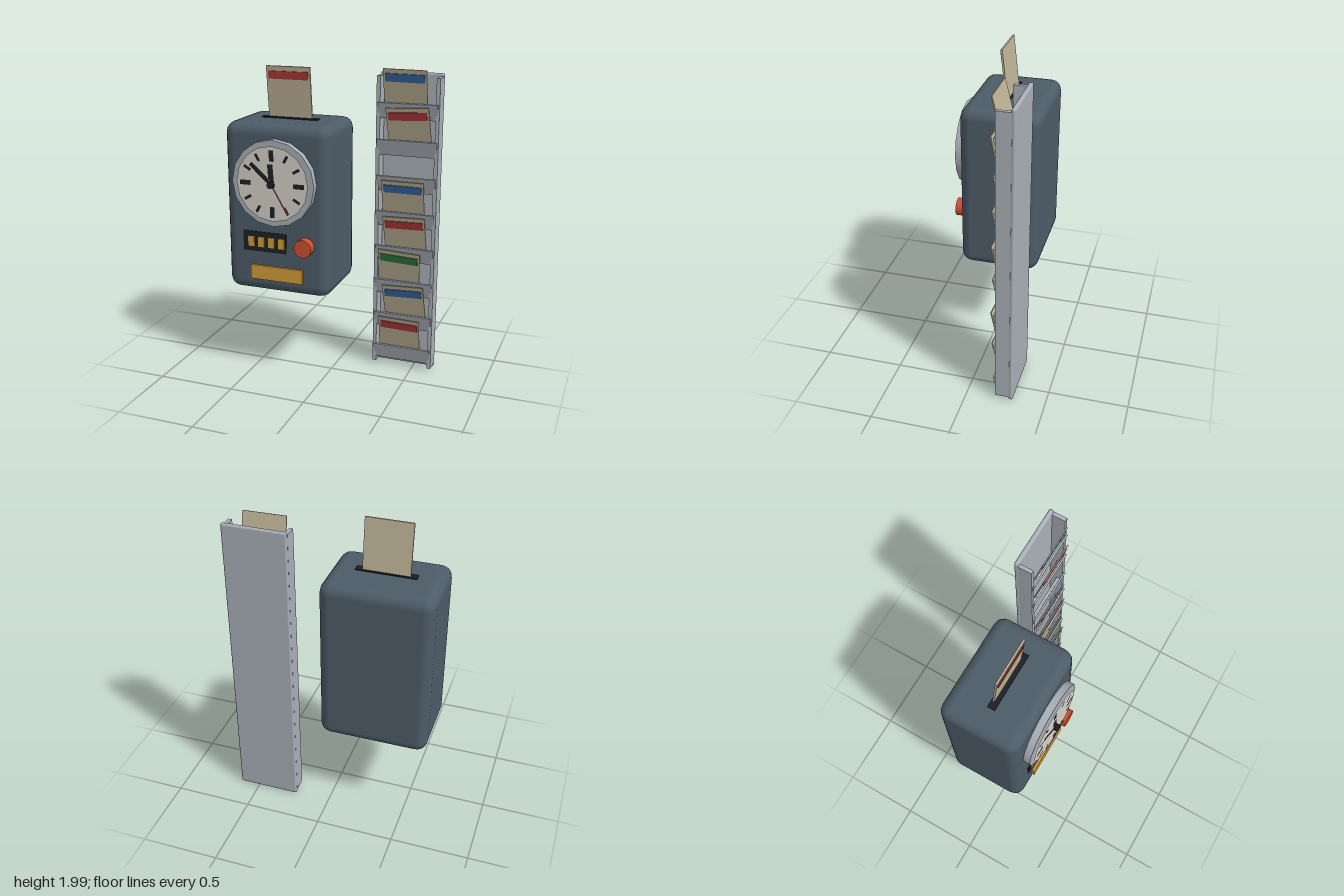
import * as THREE from 'three';
import { RoundedBoxGeometry } from 'three/addons/geometries/RoundedBoxGeometry.js';

const paint = (color) => new THREE.MeshStandardMaterial({ color });
const slate = paint(0x4d5c68), steel = paint(0xa9b0b7), dark = paint(0x1d2126);
const cream = paint(0xd6d0c8), amber = paint(0xd39c3a), orange = paint(0xcf4f30);
const paper = paint(0xbfb497), red = paint(0xb03a38), blue = paint(0x3a69a8), green = paint(0x2f7a42);

function add(parent, name, geometry, material, x = 0, y = 0, z = 0) {
  const mesh = new THREE.Mesh(geometry, material);
  mesh.name = name;
  mesh.position.set(x, y, z);
  parent.add(mesh);
  return mesh;
}
const box = (w, h, d) => new THREE.BoxGeometry(w, h, d);
const plane = (w, h) => new THREE.PlaneGeometry(w, h);
const disc = (r, depth, sides) => new THREE.CylinderGeometry(r, r, depth, sides).rotateX(Math.PI / 2);

function group(parent, name, x, y, z) {
  const g = new THREE.Group();
  g.name = name;
  g.position.set(x, y, z);
  parent.add(g);
  return g;
}

// Paper card with a coloured band; origin at the middle of the top edge
function timeCard(parent, w, h, thick, bandW, bandH, bandDrop, color) {
  const card = group(parent, 'timeCard', 0, 0, 0);
  add(card, 'cardSheet', box(w, h, thick), paper, 0, -h / 2, 0);
  add(card, 'cardBand', box(bandW, bandH, 0.006), color, 0, -bandDrop - bandH / 2, thick / 2 + 0.002);
  return card;
}

function buildClock(parent) {
  const clock = group(parent, 'clock', -0.29, 1.315, 0);
  add(clock, 'clockRim', disc(0.273, 0.05, 16), steel, 0, 0, 0.23);
  add(clock, 'clockFace', new THREE.CircleGeometry(0.238, 16, Math.PI / 2), cream, 0, 0, 0.266);

  // Hour marks, heavier at the quarters
  for (let i = 0; i < 12; i++) {
    const a = (i * Math.PI) / 6, big = i % 3 === 0, r = big ? 0.178 : 0.187;
    const mark = add(clock, 'hourMark', big ? plane(0.03, 0.07) : plane(0.018, 0.05), dark,
      Math.sin(a) * r, Math.cos(a) * r, 0.269);
    mark.rotation.z = -a;
  }

  // Hands: name, width, length, tail, clockwise degrees, depth, material
  const hands = [
    ['hourHand', 0.036, 0.125, 0.02, -4, 0.272, dark],
    ['minuteHand', 0.028, 0.185, 0.02, -48, 0.274, dark],
    ['secondHand', 0.009, 0.215, 0.04, 150, 0.277, red],
  ];
  for (const [name, w, len, tail, deg, z, mat] of hands) {
    const hand = add(clock, name, plane(w, len + tail).translate(0, (len - tail) / 2, 0), mat, 0, 0, z);
    hand.rotation.z = -THREE.MathUtils.degToRad(deg);
  }
  add(clock, 'handHub', disc(0.022, 0.022, 10), dark, 0, 0, 0.286);
}

function buildTimeClock(parent) {
  const unit = group(parent, 'timeClock', 0, 0, 0);
  add(unit, 'housing', new RoundedBoxGeometry(0.695, 1.09, 0.51, 2, 0.07), slate, -0.292, 1.127, -0.044);
  buildClock(unit);

  // Counter window with four cells
  add(unit, 'counterPanel', box(0.295, 0.13, 0.02), dark, -0.37, 0.92, 0.206);
  for (let i = 0; i < 4; i++) {
    add(unit, 'counterCell', box(0.042, 0.066, 0.01), amber, -0.463 + i * 0.069, 0.918, 0.214);
  }
  add(unit, 'pushButton', disc(0.058, 0.06, 16), orange, -0.093, 0.92, 0.237);
  add(unit, 'namePlate', box(0.355, 0.093, 0.024), amber, -0.29, 0.716, 0.215);

  // Card standing in the top slot
  add(unit, 'cardSlot', box(0.375, 0.012, 0.048), dark, -0.288, 1.673, -0.036);
  const card = timeCard(unit, 0.293, 0.36, 0.012, 0.265, 0.05, 0.03, red);
  card.position.set(-0.29, 1.999, -0.009);
  card.rotation.x = 0.11;
}

function buildRack(parent) {
  const rack = group(parent, 'cardRack', 0.43, 0, 0);
  add(rack, 'rackBack', new RoundedBoxGeometry(0.405, 1.96, 0.028, 2, 0.012), steel, 0, 0.985, -0.282);
  for (const side of [-1, 1]) {
    add(rack, 'rackSide', box(0.024, 1.92, 0.09), steel, side * 0.189, 0.985, -0.228);
  }

  // Pocket contents from the bottom up: band colour, roll in degrees, sideways shift
  const cards = [
    [red, -1.5, -0.005], [blue, 3, 0.012], [green, -3, -0.014], [red, 2, 0.008],
    [blue, 0, -0.005], null, [red, 3, 0.014], [blue, -0.6, -0.005],
  ];
  const tilt = 0.24;
  cards.forEach((entry, i) => {
    const pocket = group(rack, 'pocket', 0, 0.06 + i * 0.2325, 0);
    const lip = add(pocket, 'pocketLip', box(0.384, 0.1, 0.012), steel, 0, 0.048, -0.185);
    lip.rotation.x = tilt;
    add(pocket, 'pocketLedge', box(0.366, 0.01, 0.03), steel, 0, 0, -0.207);
    if (!entry) return;
    const [color, roll, shift] = entry;
    const card = timeCard(pocket, 0.275, 0.31, 0.007, 0.248, 0.052, 0.028, color);
    card.position.set(shift - 0.007, 0.307, -0.142);
    card.rotation.set(tilt, 0, THREE.MathUtils.degToRad(roll));
  });
}

export function createModel() {
  const model = new THREE.Group();
  model.name = 'timeClockAndCardRack';
  buildTimeClock(model);
  buildRack(model);
  return model;
}
